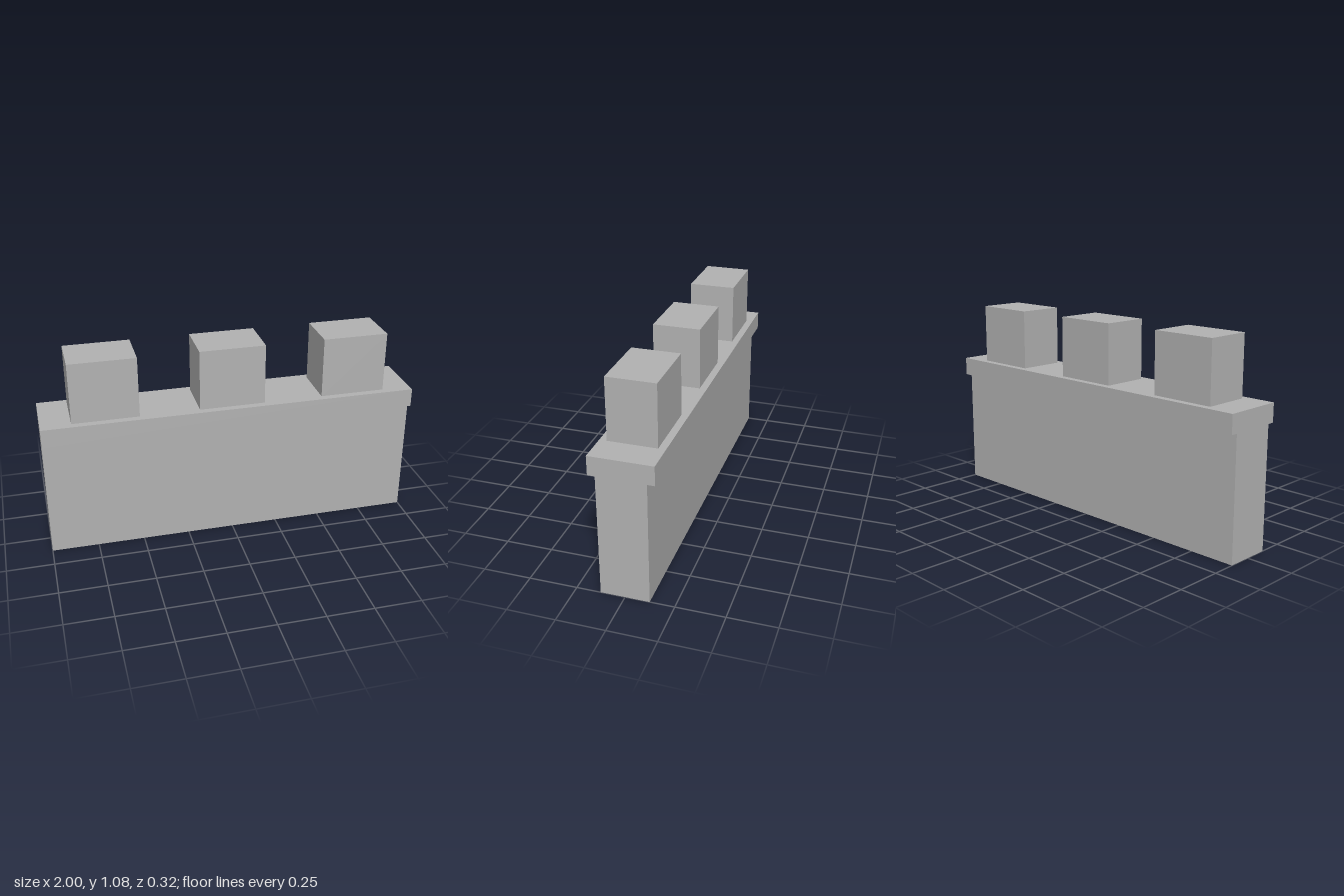
import * as THREE from 'three';

export function createModel() {
  const model = new THREE.Group();
  model.name = 'battlementWall';

  const stone = new THREE.MeshStandardMaterial({ color: 0xb2b2b2 });
  stone.name = 'grey stone';

  // Box standing on height y
  function block(name, width, height, depth, x, y) {
    const mesh = new THREE.Mesh(new THREE.BoxGeometry(width, height, depth), stone);
    mesh.name = name;
    mesh.position.set(x, y + height / 2, 0);
    model.add(mesh);
  }

  const wallHeight = 0.65, ledgeHeight = 0.1, thickness = 0.25;

  // Wall body and overhanging ledge
  block('wall', 2, wallHeight, thickness, 0, 0);
  block('ledge', 2, ledgeHeight, 0.325, 0, wallHeight);

  // Three evenly spaced merlons
  ['rightMerlon', 'middleMerlon', 'leftMerlon'].forEach((name, i) => {
    block(name, 0.35, 0.325, thickness, (i - 1) * 2 / 3, wallHeight + ledgeHeight);
  });

  return model;
}
